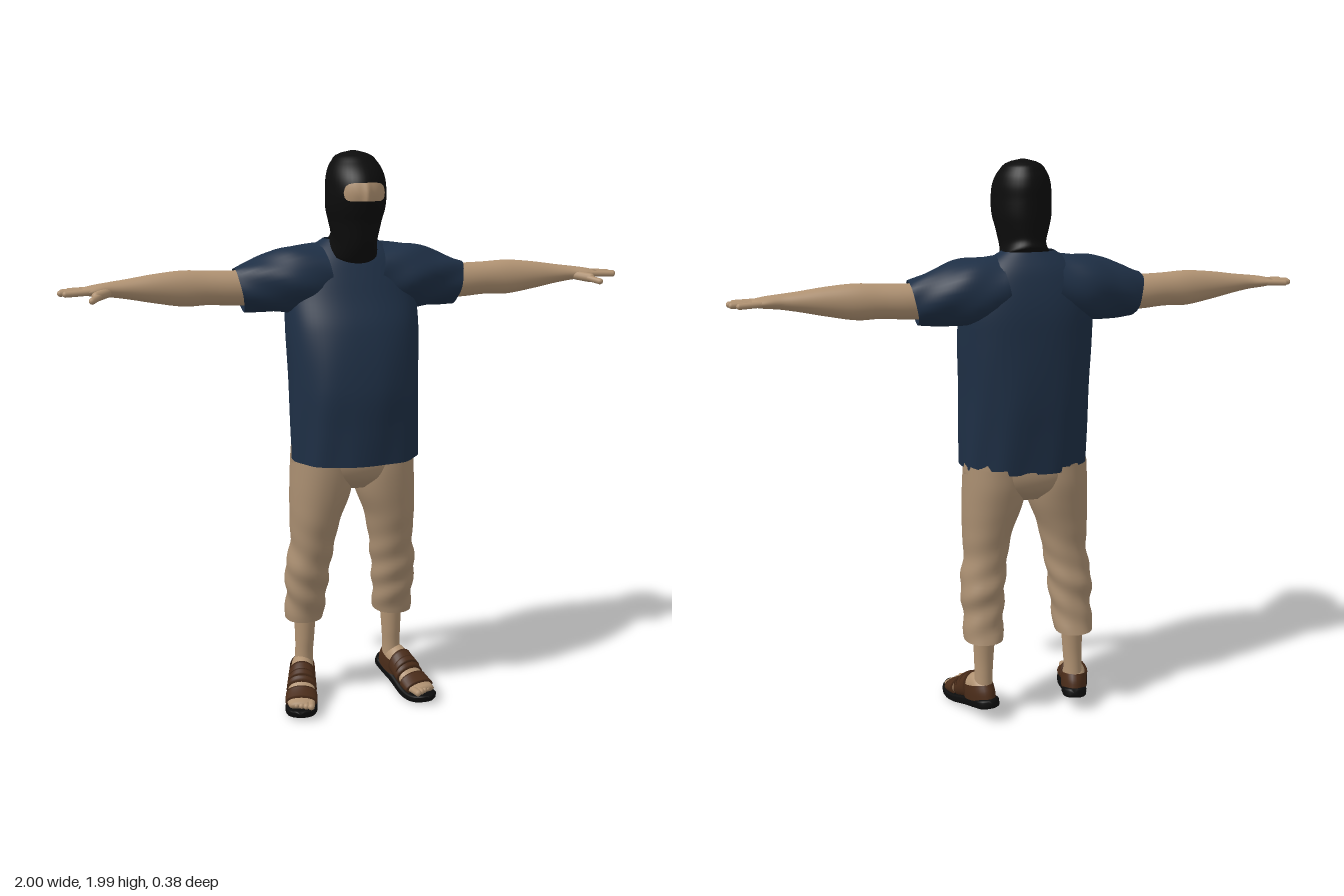
import * as THREE from 'three';
import { ParametricGeometry } from 'three/addons/geometries/ParametricGeometry.js';

const paint = (name, color, side = THREE.FrontSide) => {
  const m = new THREE.MeshStandardMaterial({ color, side });
  m.name = name;
  return m;
};

// Smooth cross-section lookup: rings are [t, centreA, centreB, radiusA, radiusB]
function sections(rings) {
  const curve = new THREE.CubicInterpolant(rings.map(r => r[0]), rings.flatMap(r => r.slice(1)), 4, new Float32Array(4));
  return t => Array.from(curve.evaluate(t));
}

// Axis placements of (t, a, b)
const alongX = (t, a, b) => [t, a, b];
const alongY = (t, a, b) => [a, t, b];
const alongZ = (t, a, b) => [a, b, t];

// Skin a surface over rounded cross-sections
function loft(rings, place, o = {}) {
  const { n = 32, steps = 24, power = 2, grow = 0, ripple = () => 0, caps = true, flip = false } = o;
  const { t0 = rings[0][0], t1 = rings[rings.length - 1][0] } = o;
  const at = sections(rings), pos = [], idx = [];
  const tri = (a, b, c) => (flip ? idx.push(a, c, b) : idx.push(a, b, c));
  const bend = v => Math.sign(v) * Math.abs(v) ** (2 / power);
  for (let i = 0; i <= steps; i++) {
    const t = t0 + (t1 - t0) * i / steps, [ca, cb, ra, rb] = at(t);
    for (let j = 0; j < n; j++) {
      const th = j / n * Math.PI * 2, k = grow + ripple(t, th);
      pos.push(...place(t, ca + (ra + k) * bend(Math.cos(th)), cb + (rb + k) * bend(Math.sin(th))));
    }
  }
  for (let i = 0; i < steps; i++) for (let j = 0; j < n; j++) {
    const a = i * n + j, b = i * n + (j + 1) % n;
    tri(a, b, a + n);
    tri(b, b + n, a + n);
  }
  if (caps) [[t0, 0], [t1, steps * n]].forEach(([t, base], end) => {
    const [ca, cb] = at(t), c = pos.length / 3;
    pos.push(...place(t, ca, cb));
    for (let j = 0; j < n; j++) {
      const p = base + j, q = base + (j + 1) % n;
      end ? tri(c, p, q) : tri(c, q, p);
    }
  });
  const g = new THREE.BufferGeometry();
  g.setAttribute('position', new THREE.Float32BufferAttribute(pos, 3));
  g.setIndex(idx);
  g.computeVertexNormals();
  return g;
}

export function createModel() {
  const skin = paint('skin', 0xb09272);
  const shirt = paint('navy shirt', 0x1e2f45, THREE.DoubleSide);
  const cloth = paint('tan trousers', 0xa88d70, THREE.DoubleSide);
  const black = paint('black', 0x0c0c0c, THREE.DoubleSide);
  const leather = paint('brown leather', 0x4a2c19, THREE.DoubleSide);
  const model = new THREE.Group();
  const add = (parent, name, geometry, material) => {
    const m = new THREE.Mesh(geometry, material);
    m.name = name;
    parent.add(m);
    return m;
  };
  // Rounded rod between two points
  const rod = (parent, name, a, b, r, material) => {
    const p = new THREE.Vector3(...a), d = new THREE.Vector3(...b).sub(p), len = d.length();
    const m = add(parent, name, new THREE.CapsuleGeometry(r, len - 2 * r, 5, 12), material);
    m.position.copy(p).addScaledVector(d, 0.5);
    m.quaternion.setFromUnitVectors(new THREE.Vector3(0, 1, 0), d.normalize());
    return m;
  };

  // Shirt body with soft vertical folds, strongest near the hem
  add(model, 'shirtBody', loft([
    [0.93, 0, 0.007, 0.224, 0.175], [1.05, 0, 0.004, 0.225, 0.183], [1.2, 0, 0, 0.226, 0.19],
    [1.4, 0, -0.02, 0.233, 0.17], [1.5, 0, -0.04, 0.23, 0.145], [1.58, 0, -0.05, 0.215, 0.12],
    [1.64, 0, -0.055, 0.165, 0.095], [1.69, 0, -0.06, 0.09, 0.058],
  ], alongY, {
    n: 64, steps: 40, power: 2.4, flip: true, caps: false,
    ripple: (t, th) => 0.004 * Math.max(0, 1.4 - t) * 2 * Math.sin(th * 9 + t * 6),
  }), shirt);

  // Trouser seat
  add(model, 'trouserSeat', loft([
    [0.82, 0, -0.02, 0.09, 0.08], [0.86, 0, -0.02, 0.19, 0.125], [0.9, 0, -0.02, 0.218, 0.143], [0.97, 0, -0.02, 0.218, 0.145],
  ], alongY, { flip: true, power: 2.3 }), cloth);

  // Balaclava, its lower edge dropping to a bib at the front
  const headRings = [
    [1.65, 0, -0.018, 0.088, 0.095], [1.7, 0, 0.005, 0.077, 0.11], [1.75, 0, 0.014, 0.087, 0.12],
    [1.8, 0, 0.022, 0.099, 0.132], [1.86, 0, 0.028, 0.1, 0.138], [1.91, 0, 0.02, 0.095, 0.128],
    [1.95, 0, 0.008, 0.077, 0.1], [1.978, 0, 0, 0.046, 0.06], [1.988, 0, 0, 0.006, 0.008],
  ];
  add(model, 'balaclava', loft(headRings, (t, a, b) => {
    const fade = THREE.MathUtils.clamp((1.76 - t) / 0.1, 0, 1);
    return [a, t - 0.45 * fade * b, b];
  }, { n: 40, steps: 40, flip: true }), black);

  // Face showing through the eye opening, with the bridge of the nose
  const head = sections(headRings);
  add(model, 'eyeOpening', new ParametricGeometry((u, v, p) => {
    const s = u * 2 - 1, h = Math.sqrt(Math.max(0, 1 - s ** 6));
    const y = 1.858 + 0.03 * h * (v * 2 - 1) - 0.004 * s * s, th = s * 0.76;
    const [, cz, rx, rz] = head(y);
    const nose = 0.01 * Math.exp(-((s / 0.16) ** 2)) * (1 - 0.6 * v);
    p.set((rx + 0.003) * Math.sin(th), y, cz + (rz + 0.003) * Math.cos(th) + nose);
  }, 32, 8), skin);

  // Everything on the model's left, mirrored afterwards
  const half = new THREE.Group();
  half.name = 'leftSide';

  add(half, 'sleeve', loft([
    [0.08, 1.565, -0.05, 0.11, 0.12], [0.2, 1.553, -0.047, 0.113, 0.125], [0.3, 1.54, -0.046, 0.095, 0.1], [0.395, 1.526, -0.045, 0.075, 0.07],
  ], (t, a, b) => [t + (a - 1.53) * 0.2, a, b], {
    caps: false, ripple: (t, th) => 0.003 * Math.sin(th * 5 + t * 30),
  }), shirt);

  add(half, 'arm', loft([
    [0.28, 1.53, -0.045, 0.062, 0.055], [0.42, 1.532, -0.045, 0.06, 0.055], [0.5, 1.536, -0.043, 0.058, 0.052],
    [0.58, 1.537, -0.04, 0.061, 0.051], [0.68, 1.541, -0.033, 0.049, 0.045], [0.78, 1.544, -0.026, 0.032, 0.038],
    [0.83, 1.545, -0.021, 0.025, 0.036], [0.88, 1.544, -0.016, 0.019, 0.046], [0.918, 1.543, -0.016, 0.012, 0.042],
  ], alongX, { steps: 36 }), skin);

  [[-0.05, 0.97, -0.056], [-0.028, 0.993, -0.032], [-0.005, 1, -0.004], [0.017, 0.985, 0.024]].forEach(([z0, x1, z1], i) =>
    rod(half, 'finger' + (i + 1), [0.88, 1.544, z0], [x1, 1.54, z1], 0.0105, skin));
  rod(half, 'thumbBase', [0.83, 1.54, -0.005], [0.89, 1.53, 0.055], 0.016, skin);
  rod(half, 'thumbTip', [0.865, 1.533, 0.035], [0.902, 1.522, 0.094], 0.011, skin);

  // Cropped trouser leg, wrinkled around the knee
  add(half, 'trouserLeg', loft([
    [0.305, 0.17, -0.075, 0.07, 0.077], [0.4, 0.165, -0.052, 0.072, 0.08], [0.5, 0.163, -0.04, 0.079, 0.09],
    [0.6, 0.148, -0.025, 0.077, 0.095], [0.7, 0.139, -0.018, 0.088, 0.112], [0.8, 0.12, -0.018, 0.106, 0.13],
    [0.88, 0.112, -0.02, 0.11, 0.141], [0.95, 0.11, -0.02, 0.108, 0.143],
  ], alongY, {
    n: 40, steps: 40, power: 2.2, flip: true, caps: false,
    ripple: (t, th) => 0.004 * Math.exp(-(((t - 0.45) / 0.18) ** 2)) * Math.sin(t * 60 + th * 2),
  }), cloth);

  add(half, 'shin', loft([
    [0.08, 0.172, -0.075, 0.036, 0.042], [0.16, 0.17, -0.073, 0.033, 0.037], [0.22, 0.168, -0.07, 0.035, 0.038], [0.36, 0.166, -0.072, 0.044, 0.045],
  ], alongY, { flip: true }), skin);

  // Foot, turned out and pitched toe-down, with an upturned toe
  const foot = new THREE.Group();
  foot.name = 'foot';
  foot.position.set(0.197, 0.017, 0);
  foot.rotation.set(0.24, 0.27, 0, 'YXZ');
  half.add(foot);
  const spring = z => 0.03 * Math.max(0, (z - 0.04) / 0.12) ** 2;
  const sprung = (t, a, b) => [a, b + spring(t), t];
  const footRings = [
    [-0.15, 0, 0.055, 0.016, 0.018], [-0.12, 0, 0.066, 0.036, 0.038], [-0.08, 0, 0.074, 0.04, 0.05],
    [-0.03, 0, 0.07, 0.043, 0.045], [0.04, 0, 0.055, 0.049, 0.031], [0.1, 0, 0.046, 0.05, 0.02], [0.13, 0, 0.042, 0.042, 0.014],
  ];
  add(foot, 'footSkin', loft(footRings, sprung, {}), skin);
  [-0.037, -0.019, -0.002, 0.016, 0.034].forEach((x, i) => {
    const tip = 0.153 - 0.006 * i, r = 0.0125 - 0.001 * i;
    rod(foot, 'toe' + (i + 1), [x, 0.045 + spring(0.11), 0.1], [x, 0.042 + spring(tip), tip], r, skin);
  });
  add(foot, 'sole', loft([
    [-0.166, 0, 0.018, 0.018, 0.015], [-0.15, 0, 0.018, 0.036, 0.018], [-0.1, 0, 0.018, 0.045, 0.019], [-0.03, 0, 0.018, 0.047, 0.019],
    [0.06, 0, 0.017, 0.057, 0.018], [0.12, 0, 0.016, 0.055, 0.017], [0.15, 0, 0.016, 0.041, 0.016], [0.168, 0, 0.016, 0.016, 0.013],
  ], sprung, { power: 4 }), black);

  // Sandal straps
  [['instepStrap', -0.045, 0.03], ['toeStrap', 0.05, 0.1]].forEach(([name, t0, t1]) =>
    add(foot, name, loft(footRings, sprung, { t0, t1, grow: 0.007, steps: 8 }), leather));
  add(foot, 'heelStrap', loft([
    [0.03, 0, -0.07, 0.047, 0.088], [0.06, 0, -0.07, 0.048, 0.086], [0.085, 0, -0.07, 0.046, 0.076],
  ], alongY, { flip: true, caps: false, steps: 6 }), leather);
  add(foot, 'ankleStrap', loft([
    [-0.012, 0, 0.07, 0.05, 0.05], [0.012, 0, 0.066, 0.053, 0.046],
  ], alongZ, { steps: 4 }), leather);

  const other = half.clone();
  other.name = 'rightSide';
  other.scale.x = -1;
  model.add(half, other);
  return model;
}
